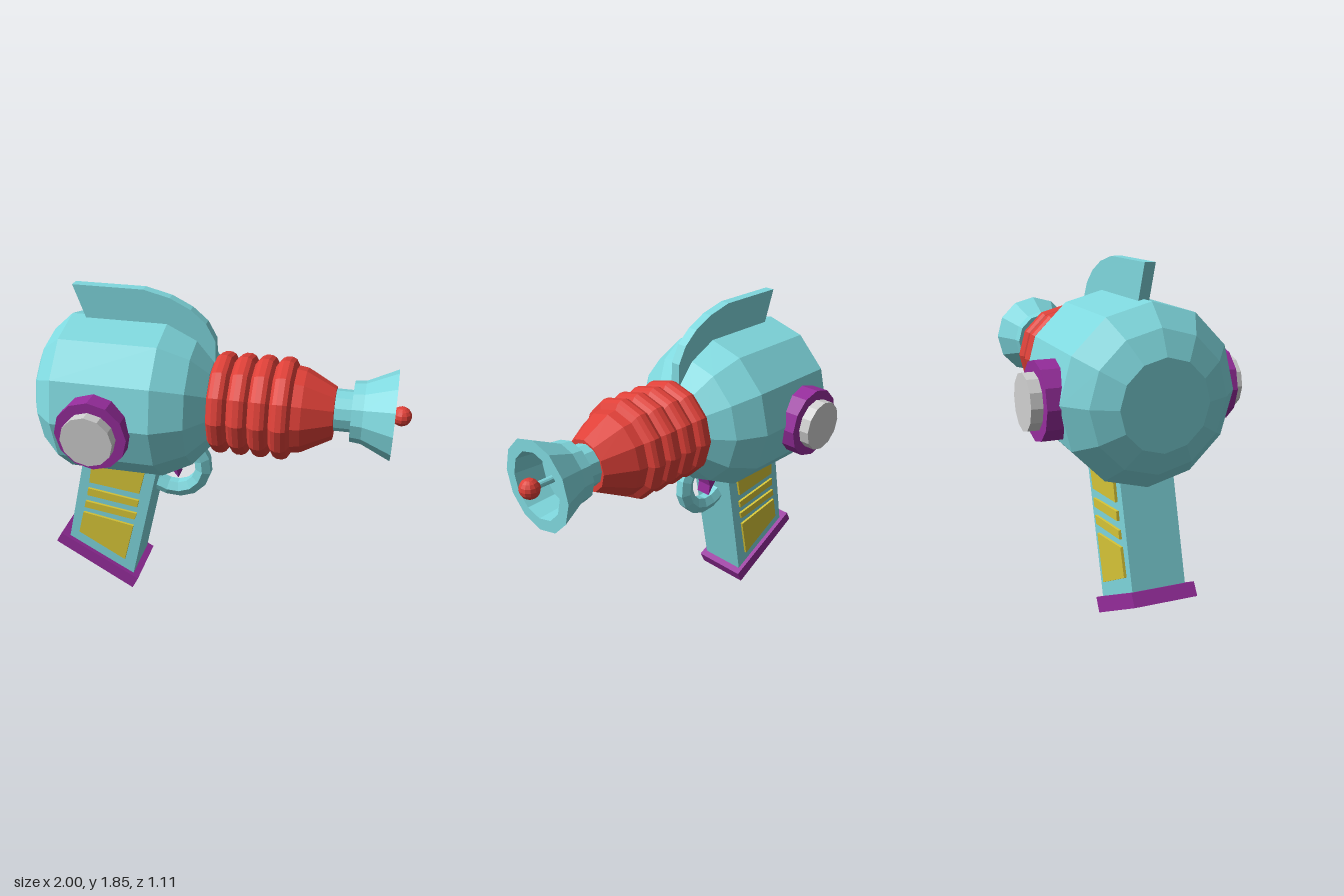
import * as THREE from 'three';

const paint = (name, color) => {
  const m = new THREE.MeshStandardMaterial({ color });
  m.name = name;
  m.flatShading = true;
  return m;
};

export function createModel() {
  const cyan = paint('cyan', 0x7fd8de);
  const red = paint('red', 0xdf4038);
  const purple = paint('purple', 0x962d9c);
  const yellow = paint('yellow', 0xd8c638);
  const grey = paint('grey', 0xd0d0d0);

  const model = new THREE.Group();
  model.name = 'rayGun';
  const add = (parent, name, geometry, material, x = 0, y = 0, z = 0) => {
    const mesh = new THREE.Mesh(geometry, material);
    mesh.name = name;
    mesh.position.set(x, y, z);
    parent.add(mesh);
    return mesh;
  };

  // Twelve-sided turned part along x, from [x, radius] pairs
  const turned = (profile) => new THREE.LatheGeometry(
    profile.map(([x, r]) => new THREE.Vector2(r, x)), 12).rotateZ(-Math.PI / 2);

  // Flat plate with an [x, y] outline, filling z0 to z1
  const slab = (outline, z0, z1) => new THREE.ExtrudeGeometry(
    new THREE.Shape(outline.map(([x, y]) => new THREE.Vector2(x, y))),
    { depth: z1 - z0, bevelEnabled: false }).translate(0, 0, z0);

  // Rounded main body
  add(model, 'body', turned([
    [-1, 0], [-1, 0.22], [-0.94, 0.34], [-0.83, 0.44], [-0.3, 0.44],
    [-0.14, 0.36], [-0.05, 0.25], [-0.05, 0],
  ]), cyan, 0, 1.24, 0);

  // Ribbed barrel ending in a cone
  const ribs = [[-0.06, 0]];
  for (let i = 0; i < 4; i++) {
    const x = -0.055 + i * 0.111;
    ribs.push([x, 0.24], [x + 0.018, 0.266], [x + 0.04, 0.277],
      [x + 0.071, 0.277], [x + 0.093, 0.266]);
  }
  ribs.push([0.389, 0.235], [0.44, 0.227], [0.6, 0.142], [0.6, 0]);
  add(model, 'ribbedBarrel', turned(ribs), red, 0, 1.236, -0.004);

  // Flared hollow muzzle with a ball on a rod
  add(model, 'muzzle', turned([
    [0.58, 0], [0.58, 0.113], [0.69, 0.113], [0.69, 0.162], [0.75, 0.168],
    [0.91, 0.242], [0.91, 0.178], [0.75, 0.165], [0.75, 0],
  ]), cyan, 0, 1.249, -0.02);
  add(model, 'muzzleRod', turned([[0.74, 0.018], [0.94, 0.018]]), cyan, 0, 1.25, -0.017);
  add(model, 'muzzleBall', new THREE.SphereGeometry(0.053, 12, 8), red, 0.947, 1.25, -0.017);

  // Top fin
  add(model, 'topFin', slab([
    [-0.805, 1.85], [-0.72, 1.6], [-0.3, 1.6], [-0.12, 1.45], [-0.04, 1.45],
    [-0.042, 1.6], [-0.09, 1.69], [-0.17, 1.76], [-0.28, 1.815], [-0.42, 1.85],
  ], -0.027, 0.027), cyan);

  // Dials on both sides
  for (const [side, x] of [[1, -0.59], [-1, -0.643]]) {
    const dial = new THREE.Group();
    dial.name = side > 0 ? 'leftDial' : 'rightDial';
    const disc = (r, depth) => new THREE.CylinderGeometry(r, r, depth, 12).rotateX(Math.PI / 2);
    add(dial, 'dialRing', disc(0.193, 0.145), purple, 0, 0, side * 0.423);
    add(dial, 'dialCap', disc(0.139, 0.12), grey, 0, 0, side * 0.493);
    dial.position.set(x, 1.222, 0);
    model.add(dial);
  }

  // Grip, base plate and raised panels, leaning slightly sideways
  const grip = new THREE.Group();
  grip.name = 'grip';
  const lean = new THREE.Matrix4().makeShear(0, 0, 0, -0.035, 0, 0);
  const addLeaning = (name, geometry, material) =>
    add(grip, name, geometry.applyMatrix4(lean), material);
  addLeaning('handle', slab(
    [[-0.769, 0.95], [-0.92, 0.31], [-0.53, 0.09], [-0.331, 0.95]], -0.14, 0.14), cyan);
  addLeaning('basePlate', slab(
    [[-1, 0.275], [-0.965, 0.337], [-0.495, 0.073], [-0.532, 0]], -0.165, 0.165), purple);
  const panels = [
    [[-0.733, 0.87], [-0.762, 0.716], [-0.463, 0.68], [-0.412, 0.87]],
    [[-0.773, 0.674], [-0.78, 0.626], [-0.48, 0.585], [-0.468, 0.63]],
    [[-0.794, 0.583], [-0.805, 0.54], [-0.5, 0.497], [-0.484, 0.54]],
    [[-0.815, 0.503], [-0.853, 0.358], [-0.575, 0.198], [-0.51, 0.45]],
  ];
  for (const panel of panels) {
    addLeaning('leftGripPanel', slab(panel, 0.13, 0.154), yellow);
    addLeaning('rightGripPanel', slab(panel, -0.154, -0.13), yellow);
  }
  grip.position.z = 0.041;
  model.add(grip);

  // Trigger and its guard
  add(model, 'trigger', slab(
    [[-0.37, 0.87], [-0.31, 0.79], [-0.265, 0.73], [-0.275, 0.79], [-0.25, 0.87]],
    -0.058, 0.03), purple);
  const guardPath = new THREE.CatmullRomCurve3([
    [-0.46, 0.72], [-0.38, 0.665], [-0.28, 0.643], [-0.17, 0.69],
    [-0.117, 0.81], [-0.145, 0.9], [-0.2, 0.98],
  ].map(([x, y]) => new THREE.Vector3(x, y, 0)));
  add(model, 'triggerGuard', new THREE.TubeGeometry(guardPath, 9, 0.053, 6).scale(1, 1, 0.9), cyan);

  return model;
}
